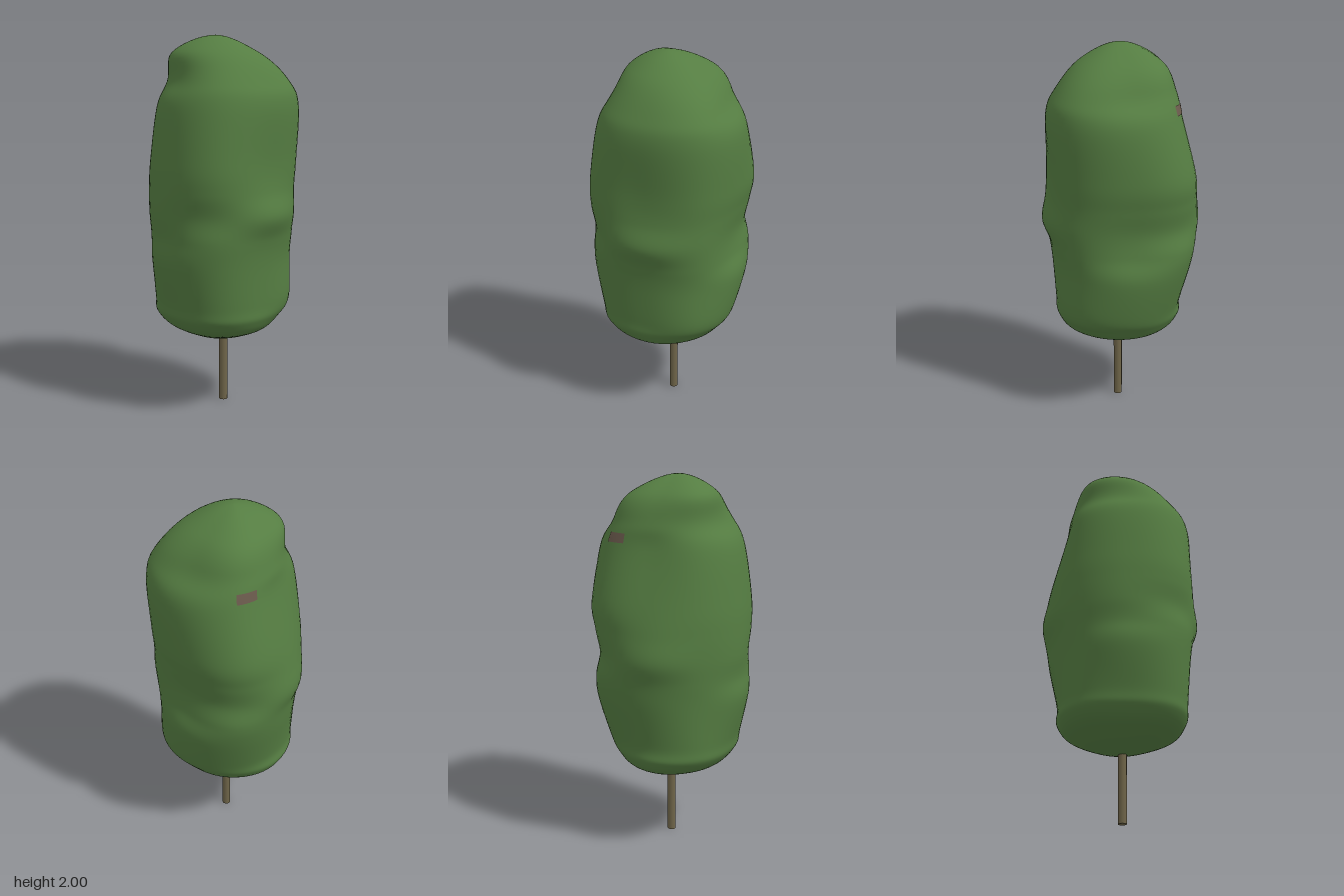
import * as THREE from 'three';

// Crown cross-sections: height, then radii at 45 degree steps from +x towards +z
const SECTIONS = [
  [0.43, 0.26, 0.27, 0.24, 0.24, 0.25, 0.23, 0.22, 0.23],
  [0.51, 0.34, 0.37, 0.33, 0.34, 0.33, 0.31, 0.31, 0.33],
  [0.60, 0.35, 0.39, 0.35, 0.35, 0.33, 0.34, 0.36, 0.38],
  [0.82, 0.36, 0.42, 0.40, 0.36, 0.37, 0.41, 0.40, 0.38],
  [0.95, 0.38, 0.43, 0.39, 0.37, 0.39, 0.43, 0.37, 0.39],
  [1.07, 0.42, 0.42, 0.40, 0.38, 0.42, 0.41, 0.36, 0.40],
  [1.20, 0.39, 0.44, 0.40, 0.38, 0.40, 0.43, 0.38, 0.40],
  [1.35, 0.38, 0.44, 0.39, 0.37, 0.37, 0.44, 0.40, 0.41],
  [1.63, 0.39, 0.40, 0.35, 0.33, 0.30, 0.37, 0.39, 0.42],
  [1.76, 0.34, 0.34, 0.28, 0.28, 0.28, 0.32, 0.31, 0.37],
  [1.91, 0.21, 0.21, 0.22, 0.24, 0.21, 0.24, 0.21, 0.22],
];
const BOTTOM = 0.362, TOP = 2, LAST = SECTIONS.length + 1;

function spline(a, b, c, d, t) {
  return b + 0.5 * t * (c - a + t * (2 * a - 5 * b + 4 * c - d + t * (3 * (b - c) + d - a)));
}

// Rows 0 and LAST are the poles; rows past a pole mirror across it so the ends are round
function section(row) {
  if (row === 0 || row === LAST) return [row === 0 ? BOTTOM : TOP, ...Array(8).fill(0)];
  if (row < 0 || row > LAST) {
    return section(row < 0 ? 1 : LAST - 1).map((v, n) => (n === 0 ? v : -v));
  }
  return SECTIONS[row - 1];
}

// Smooth point on the crown; row runs up the sections, dir runs round the 8 directions
function crownPoint(row, dir, offset) {
  const i = Math.min(Math.floor(row), LAST - 1), k = Math.floor(dir);
  const steps = [-1, 0, 1, 2];
  const rows = steps.map((n) => section(i + n));
  const radii = rows.map((r) => spline(...steps.map((n) => r[1 + ((k + n + 8) % 8)]), dir - k));
  const radius = spline(...radii, row - i) + offset;
  const y = spline(...rows.map((r) => r[0]), row - i);
  const angle = dir * Math.PI / 4;
  const shift = 0.03 * THREE.MathUtils.smoothstep(y, 1.8, 2);
  return [radius * Math.cos(angle), y, radius * Math.sin(angle) + shift];
}

// Grid over part of the crown, joined round when it covers every direction
function crownSurface(row0, row1, dir0, dir1, nRow, nDir, offset) {
  const cols = dir1 - dir0 === 8 ? nDir : nDir + 1;
  const positions = [], index = [];
  for (let r = 0; r <= nRow; r++) {
    for (let c = 0; c < cols; c++) {
      positions.push(...crownPoint(row0 + (row1 - row0) * r / nRow, dir0 + (dir1 - dir0) * c / nDir, offset));
    }
  }
  for (let r = 0; r < nRow; r++) {
    for (let c = 0; c < nDir; c++) {
      const a = r * cols + c, b = r * cols + (c + 1) % cols;
      index.push(a, a + cols, b, b, a + cols, b + cols);
    }
  }
  const geometry = new THREE.BufferGeometry();
  geometry.setAttribute('position', new THREE.Float32BufferAttribute(positions, 3));
  geometry.setIndex(index);
  geometry.computeVertexNormals();
  return geometry;
}

function namedMaterial(name, color) {
  const material = new THREE.MeshStandardMaterial({ color });
  material.name = name;
  return material;
}

export function createModel() {
  const foliage = namedMaterial('foliage green', 0x557d42);
  const bark = namedMaterial('bark brown', 0x6f6549);
  const twig = namedMaterial('twig brown', 0x6a5a4c);

  const group = new THREE.Group();
  const add = (name, geometry, material) => {
    const mesh = new THREE.Mesh(geometry, material);
    mesh.name = name;
    group.add(mesh);
    return mesh;
  };

  // Lumpy clipped crown
  add('crown', crownSurface(0, LAST, 0, 8, 96, 64, 0), foliage);

  // Small bare patch high on the back of the crown
  add('barePatch', crownSurface(9.2, 9.6, 4.6, 5, 4, 5, 0.003), twig);

  // Thin straight trunk
  add('trunk', new THREE.CylinderGeometry(0.023, 0.023, 0.6, 12), bark).position.set(0.014, 0.3, -0.014);

  return group;
}
